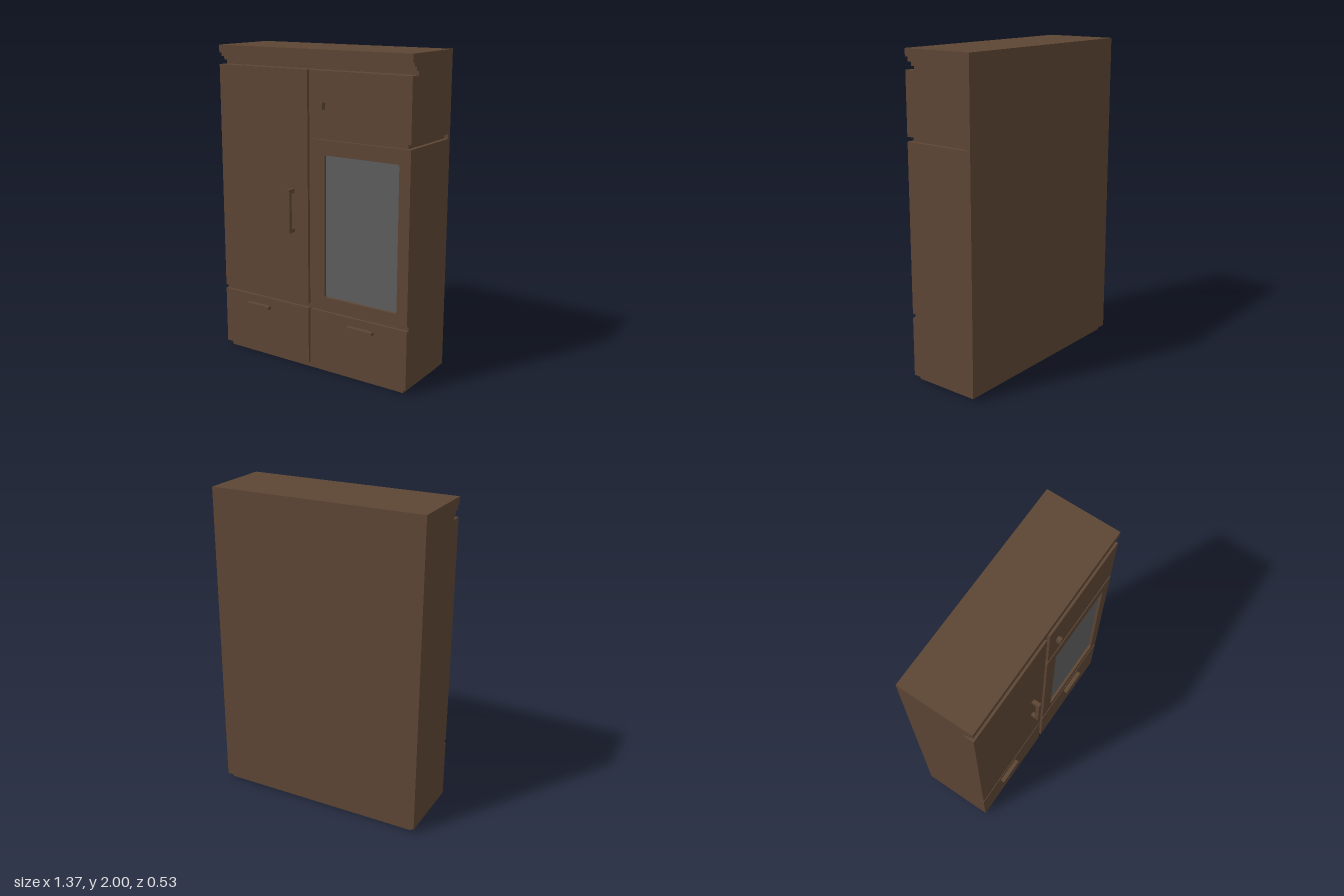
import * as THREE from 'three';

const brown = new THREE.MeshStandardMaterial({ color: 0x5c4534 });
brown.name = 'brown wood';
const grey = new THREE.MeshStandardMaterial({ color: 0x5d5d5d });
grey.name = 'grey glass';

const W = 0.687, BACK = -0.263, CORE = 0.19, FRONT = 0.21;

export function createModel() {
  const cabinet = new THREE.Group();
  cabinet.name = 'cabinet';

  const add = (name, geometry, material = brown, parent = cabinet) => {
    const mesh = new THREE.Mesh(geometry, material);
    mesh.name = name;
    parent.add(mesh);
    return mesh;
  };
  // Box given by its limits on each axis
  const box = (name, x0, x1, y0, y1, z0, z1, parent = cabinet) => {
    const g = new THREE.BoxGeometry(x1 - x0, y1 - y0, z1 - z0);
    g.translate((x0 + x1) / 2, (y0 + y1) / 2, (z0 + z1) / 2);
    return add(name, g, brown, parent);
  };

  // Plinth and carcass, with a groove cut into the left side
  box('plinth', -0.66, 0.66, 0, 0.03, -0.237, CORE);
  box('lowerCarcass', -W, W, 0.03, 1.475, BACK, CORE);
  box('grooveCore', -W, 0.66, 1.475, 1.503, -0.24, CORE);
  box('grooveBack', -W, W, 1.475, 1.503, BACK, -0.24);
  box('upperCarcass', -W, W, 1.503, 1.88, BACK, CORE);

  // Stepped cornice, profile drawn in (z, y) and run along x
  const profile = new THREE.Shape([
    [BACK, 1.88], [0.14, 1.88], [0.14, 1.905], [0.165, 1.905], [0.165, 1.928],
    [0.19, 1.928], [0.19, 1.953], [FRONT, 1.953], [FRONT, 2], [BACK, 2],
  ].map(([z, y]) => new THREE.Vector2(-z, y)));
  const cornice = new THREE.ExtrudeGeometry(profile, { depth: 2 * W, bevelEnabled: false });
  cornice.rotateY(Math.PI / 2).translate(-W, 0, 0);
  add('cornice', cornice);

  // Door and drawer fronts, separated by grooves
  box('tallDoor', -W, -0.015, 0.43, 1.88, CORE, FRONT);
  box('upperDoor', 0.012, W, 1.503, 1.88, CORE, FRONT);
  box('rightDrawer', -W, -0.015, 0.03, 0.402, CORE, FRONT);
  box('leftDrawer', 0.012, W, 0.03, 0.402, CORE, FRONT);

  // Glazed door: frame with a rounded opening
  const frame = new THREE.Shape();
  frame.moveTo(0.012, 0.43).lineTo(W, 0.43).lineTo(W, 1.475).lineTo(0.012, 1.475).closePath();
  const x0 = 0.107, x1 = 0.615, y0 = 0.498, y1 = 1.385, r = 0.015;
  const hole = new THREE.Path();
  hole.absarc(x1 - r, y1 - r, r, 0, Math.PI / 2);
  hole.absarc(x0 + r, y1 - r, r, Math.PI / 2, Math.PI);
  hole.absarc(x0 + r, y0 + r, r, Math.PI, Math.PI * 1.5);
  hole.absarc(x1 - r, y0 + r, r, Math.PI * 1.5, Math.PI * 2);
  hole.closePath();
  frame.holes.push(hole);
  const frameGeometry = new THREE.ExtrudeGeometry(frame, {
    depth: FRONT - CORE, bevelEnabled: false, curveSegments: 4,
  });
  add('glassDoorFrame', frameGeometry.translate(0, 0, CORE));
  const pane = new THREE.BoxGeometry(x1 - x0 + 0.01, y1 - y0 + 0.01, 0.004);
  add('glassPane', pane.translate((x0 + x1) / 2, (y0 + y1) / 2, CORE), grey);

  // Tall door handle: grip on two posts
  const handle = new THREE.Group();
  handle.name = 'tallDoorHandle';
  cabinet.add(handle);
  box('grip', -0.14, -0.115, 0.88, 1.155, 0.24, 0.263, handle);
  for (const y of [0.88, 1.13]) box('post', -0.14, -0.115, y, y + 0.025, FRONT, 0.24, handle);

  // Drawer handles and the upper door knob
  box('rightDrawerHandle', -0.489, -0.315, 0.33, 0.35, FRONT, 0.237);
  box('leftDrawerHandle', 0.286, 0.46, 0.33, 0.35, FRONT, 0.237);
  box('upperDoorKnob', 0.086, 0.111, 1.656, 1.699, FRONT, 0.237);

  return cabinet;
}
